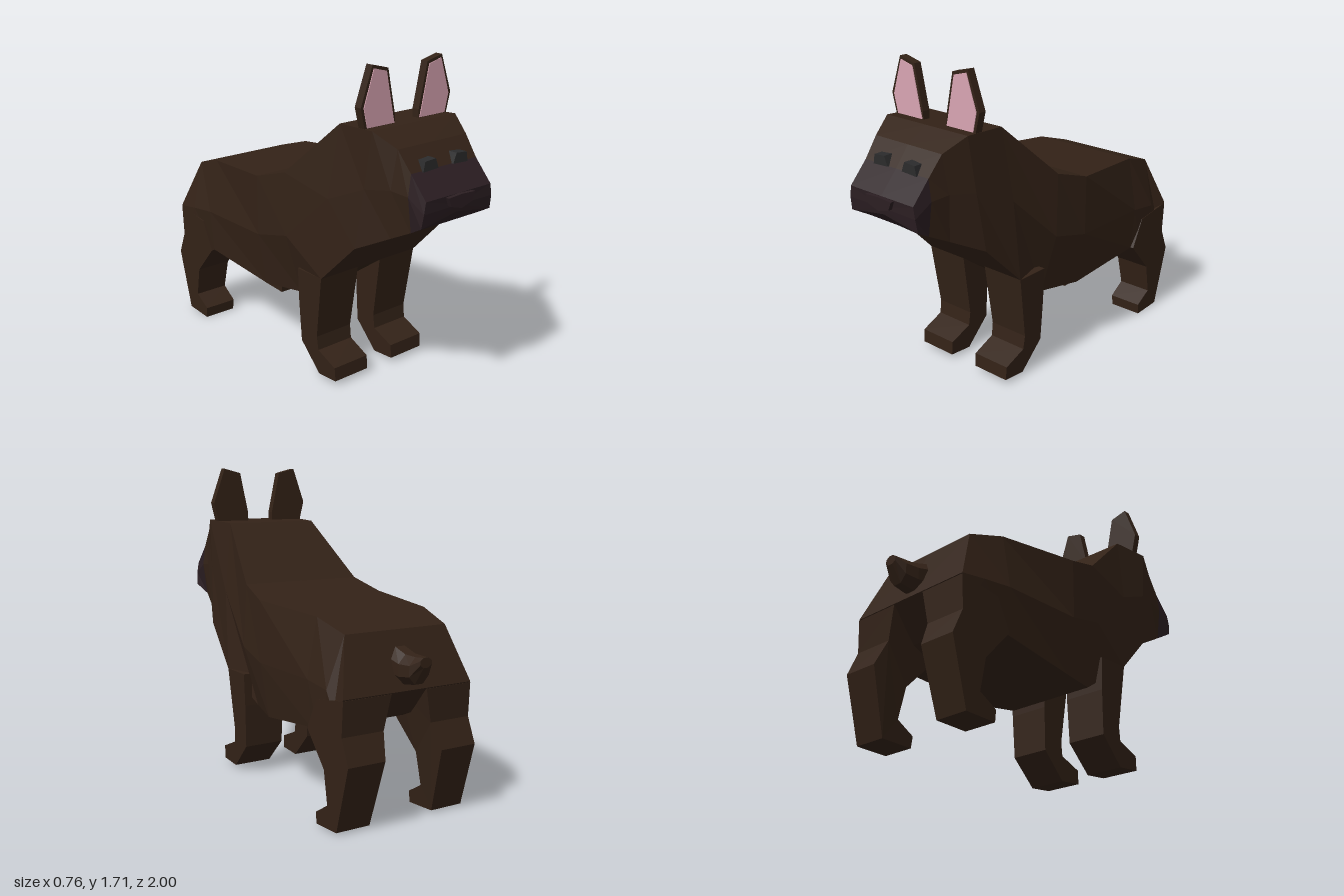
import * as THREE from 'three';

const material = (color) => new THREE.MeshStandardMaterial({ color, flatShading: true, roughness: 1 });

// Skin closed rings, ordered front to back, with both ends capped
function loft(rings) {
  const pos = [];
  const tri = (...pts) => pts.forEach((p) => pos.push(...p));
  const n = rings[0].length;
  const centre = (ring) => [0, 1, 2].map((k) => ring.reduce((sum, p) => sum + p[k], 0) / n);
  const first = rings[0], last = rings[rings.length - 1];
  const c0 = centre(first), c1 = centre(last);
  for (let i = 0; i < n; i++) {
    const j = (i + 1) % n;
    for (let r = 0; r < rings.length - 1; r++) {
      const a = rings[r], b = rings[r + 1];
      tri(a[i], a[j], b[j]);
      tri(a[i], b[j], b[i]);
    }
    tri(c0, first[j], first[i]);
    tri(c1, last[i], last[j]);
  }
  const geo = new THREE.BufferGeometry();
  geo.setAttribute('position', new THREE.Float32BufferAttribute(pos, 3));
  geo.computeVertexNormals();
  return geo;
}

// Symmetric ring from top, middle and bottom corners [halfWidth, y, z]
function ring(top, mid, bottom, bottomCentre = [0, bottom[1], bottom[2]]) {
  const half = [top, mid, bottom];
  const mirrored = half.map(([x, y, z]) => [-x, y, z]).reverse();
  return [[0, top[1], top[2]], ...half, bottomCentre, ...mirrored];
}

const outline = (pts) => new THREE.Shape(pts.map(([x, y]) => new THREE.Vector2(x, y)));

// Front-facing plate between two depths
function plate(pts, z0, z1) {
  return new THREE.ExtrudeGeometry(outline(pts), { depth: z1 - z0, bevelEnabled: false }).translate(0, 0, z0);
}

// Leg from a side profile [z, y]; inner and outer give x at each height
function leg(profile, side, inner, outer) {
  const geo = new THREE.ExtrudeGeometry(outline(profile), { depth: 1, bevelEnabled: false });
  geo.rotateY(-Math.PI / 2).translate(1, 0, 0);
  const p = geo.attributes.position;
  for (let i = 0; i < p.count; i++) {
    const a = inner(p.getY(i)), b = outer(p.getY(i)), t = p.getX(i);
    p.setX(i, side > 0 ? a + (b - a) * t : -b + (b - a) * t);
  }
  geo.computeVertexNormals();
  return geo;
}

export function createModel() {
  const model = new THREE.Group();
  const fur = material(0x332217), muzzleMat = material(0x2b1e22);
  const pink = material(0xd9a5b3), eyeMat = material(0x2b2b2c);
  const add = (name, geo, mat) => {
    const mesh = new THREE.Mesh(geo, mat);
    mesh.name = name;
    model.add(mesh);
  };

  // Head, neck, torso and rump
  const face = ring([0.22, 1.24, 0.88], [0.235, 1.13, 0.88], [0.21, 0.95, 0.88]);
  add('body', loft([
    face,
    ring([0.23, 1.34, 0.8], [0.25, 1.14, 0.78], [0.235, 0.895, 0.77]),
    ring([0.28, 1.41, 0.68], [0.29, 1.12, 0.64], [0.31, 0.81, 0.6]),
    ring([0.27, 1.4, 0.44], [0.32, 1.02, 0.41], [0.33, 0.58, 0.37]),
    ring([0.35, 1.09, 0.1], [0.36, 0.75, 0.12], [0.27, 0.41, 0.13]),
    ring([0.38, 1.03, -0.1], [0.38, 0.7, -0.1], [0.33, 0.4, -0.1]),
    ring([0.325, 1.0, -0.57], [0.38, 0.7, -0.57], [0.36, 0.46, -0.57]),
    ring([0.3, 0.94, -0.77], [0.38, 0.68, -0.74], [0.37, 0.47, -0.65]),
    ring([0.38, 0.66, -0.88], [0.38, 0.58, -0.8], [0.37, 0.5, -0.72]),
  ]), fur);

  // Muzzle with a raised lip in the middle
  add('muzzle', loft([
    ring([0.22, 1.13, 0.98], [0.23, 1.07, 0.98], [0.235, 1.0, 0.97], [0, 1.035, 0.97]),
    face,
  ]), muzzleMat);
  add('nose', plate([[-0.09, 1.125], [-0.07, 1.08], [0, 1.06], [0.07, 1.08], [0.09, 1.125], [0, 1.13]], 0.95, 1), muzzleMat);

  // Tail stub, curling up at the tip
  const tailRings = [[-0.8, 0.78, 0.07, 0.085], [-0.88, 0.765, 0.07, 0.075], [-0.95, 0.77, 0.06, 0.068], [-1, 0.815, 0.035, 0.025]];
  add('tail', loft(tailRings.map(([z, y, rx, ry]) => Array.from({ length: 8 }, (_, i) => {
    const a = (i + 0.5) * Math.PI / 4;
    return [rx * 1.05 * Math.sin(a), y + ry * 1.05 * Math.cos(a), z];
  }))), fur);

  const frontProfile = [[0.37, 0.58], [0.32, 0.23], [0.33, 0.155], [0.46, 0.1], [0.465, 0.025],
    [0.33, 0.015], [0.19, 0.16], [0.18, 0.4], [0.18, 0.58]];
  const hindProfile = [[-0.57, 0.46], [-0.72, 0.29], [-0.75, 0.12], [-0.65, 0.06], [-0.655, 0],
    [-0.83, 0.01], [-0.925, 0.35], [-0.87, 0.48], [-0.88, 0.655], [-0.65, 0.62]];
  const earPoints = [[0.08, 1.39], [0.08, 1.45], [0.13, 1.68], [0.23, 1.705], [0.3, 1.51], [0.27, 1.39]];
  const earInner = [[0.085, 1.41], [0.095, 1.45], [0.142, 1.667], [0.223, 1.688], [0.283, 1.508], [0.26, 1.41]];
  const eyePoints = [[0.05, 1.24], [0.15, 1.235], [0.14, 1.285], [0.07, 1.29]];

  // Paired parts
  for (const side of [1, -1]) {
    const name = side > 0 ? 'left' : 'right';
    const flip = (pts) => pts.map(([x, y]) => [x * side, y]);
    add(name + 'FrontLeg', leg(frontProfile, side, (y) => 0.09 - 0.02 * y, (y) => 0.31 + 0.035 * y), fur);
    add(name + 'HindLeg', leg(hindProfile, side, (y) => 0.19 - 0.06 * y - 0.15 * Math.max(0, y - 0.35), () => 0.38), fur);
    add(name + 'Ear', plate(flip(earPoints), 0.58, 0.622), fur);
    add(name + 'InnerEar', plate(flip(earInner), 0.61, 0.626), pink);
    add(name + 'Eye', plate(flip(eyePoints), 0.83, 0.89), eyeMat);
  }
  return model;
}
